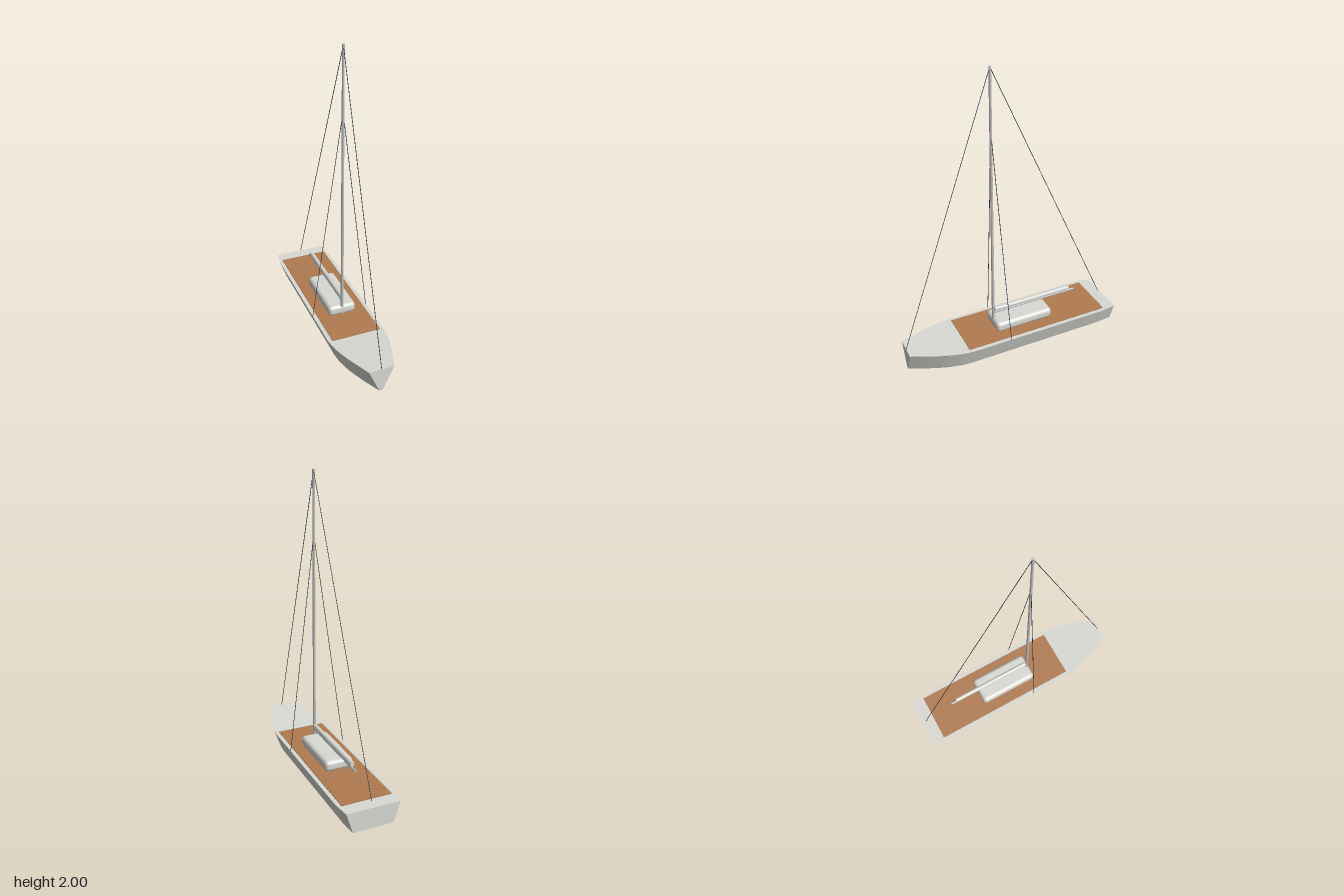
import * as THREE from 'three';
import { toCreasedNormals } from 'three/addons/utils/BufferGeometryUtils.js';
import { RoundedBoxGeometry } from 'three/addons/geometries/RoundedBoxGeometry.js';

const mat = (name, color) => {
  const m = new THREE.MeshStandardMaterial({ color });
  m.name = name;
  return m;
};

// Hull stations: z, deck half width, bottom half width, deck height
const STATIONS = [
  [-0.755, 0.18, 0.135, 0.138],
  [-0.64, 0.195, 0.145, 0.138],
  [-0.2, 0.195, 0.145, 0.138],
  [0.35, 0.195, 0.145, 0.139],
  [0.42, 0.189, 0.138, 0.142],
  [0.5, 0.173, 0.119, 0.147],
  [0.58, 0.149, 0.091, 0.152],
  [0.66, 0.119, 0.057, 0.157],
  [0.755, 0.084, 0.012, 0.163],
];

// Lofts a four-cornered section along the stations and caps both ends
function hullGeometry() {
  const pos = [], index = [];
  for (const [z, w, b, h] of STATIONS) pos.push(-b, 0, z, b, 0, z, w, h, z, -w, h, z);
  const last = STATIONS.length - 1;
  for (let i = 0; i < last; i++) {
    for (let k = 0; k < 4; k++) {
      const a = i * 4 + k, b = i * 4 + (k + 1) % 4;
      index.push(a, b, b + 4, a, b + 4, a + 4);
    }
  }
  const e = last * 4;
  index.push(0, 2, 1, 0, 3, 2, e, e + 1, e + 2, e, e + 2, e + 3);
  const g = new THREE.BufferGeometry();
  g.setAttribute('position', new THREE.Float32BufferAttribute(pos, 3));
  g.setIndex(index);
  return toCreasedNormals(g, 0.35);
}

export function createModel() {
  const model = new THREE.Group();
  model.name = 'sailboat';
  const hullWhite = mat('hullWhite', 0xd9d9d4);
  const wood = mat('deckWood', 0xb07a50);
  const metal = mat('sparGrey', 0xbcbfc1);
  const wire = mat('rigging', 0x2a3036);

  const add = (name, geometry, material, x = 0, y = 0, z = 0) => {
    const m = new THREE.Mesh(geometry, material);
    m.name = name;
    m.position.set(x, y, z);
    model.add(m);
    return m;
  };
  // Round bar from a to b
  const rod = (name, a, b, r0, r1, material, sides = 12) => {
    const p = new THREE.Vector3(...a), q = new THREE.Vector3(...b);
    const d = q.clone().sub(p);
    const m = add(name, new THREE.CylinderGeometry(r1, r0, d.length(), sides), material);
    m.position.copy(p).lerp(q, 0.5);
    m.quaternion.setFromUnitVectors(new THREE.Vector3(0, 1, 0), d.normalize());
  };

  // Hull, deck and cabin
  add('hull', hullGeometry(), hullWhite);
  add('deck', new THREE.BoxGeometry(0.336, 0.01, 1.035), wood, 0, 0.138, -0.148);
  add('cabin', new RoundedBoxGeometry(0.194, 0.073, 0.42, 5, 0.027), hullWhite, 0, 0.175, -0.078);

  // Mast, boom and the furled sail on top of it
  rod('mast', [0, 0.14, 0.12], [0, 2, 0.12], 0.01, 0.008, metal);
  rod('boom', [0, 0.25, 0.11], [0, 0.25, -0.51], 0.008, 0.008, metal);
  rod('furledSail', [0, 0.275, 0.108], [0, 0.275, -0.467], 0.015, 0.015, hullWhite);

  // Stays along the centreline
  rod('forestay', [0, 1.995, 0.12], [0, 0.163, 0.752], 0.002, 0.002, wire, 6);
  rod('backstay', [0, 1.995, 0.12], [0, 0.163, -0.725], 0.002, 0.002, wire, 6);

  // Shrouds and bow fairleads, mirrored
  for (const [side, s] of [['left', 1], ['right', -1]]) {
    rod(side + 'Shroud', [0, 1.6, 0.12], [s * 0.195, 0.14, 0.075], 0.002, 0.002, wire, 6);
    add(side + 'Fairlead', new THREE.BoxGeometry(0.01, 0.006, 0.01), wire, s * 0.153, 0.142, 0.54);
  }
  return model;
}
